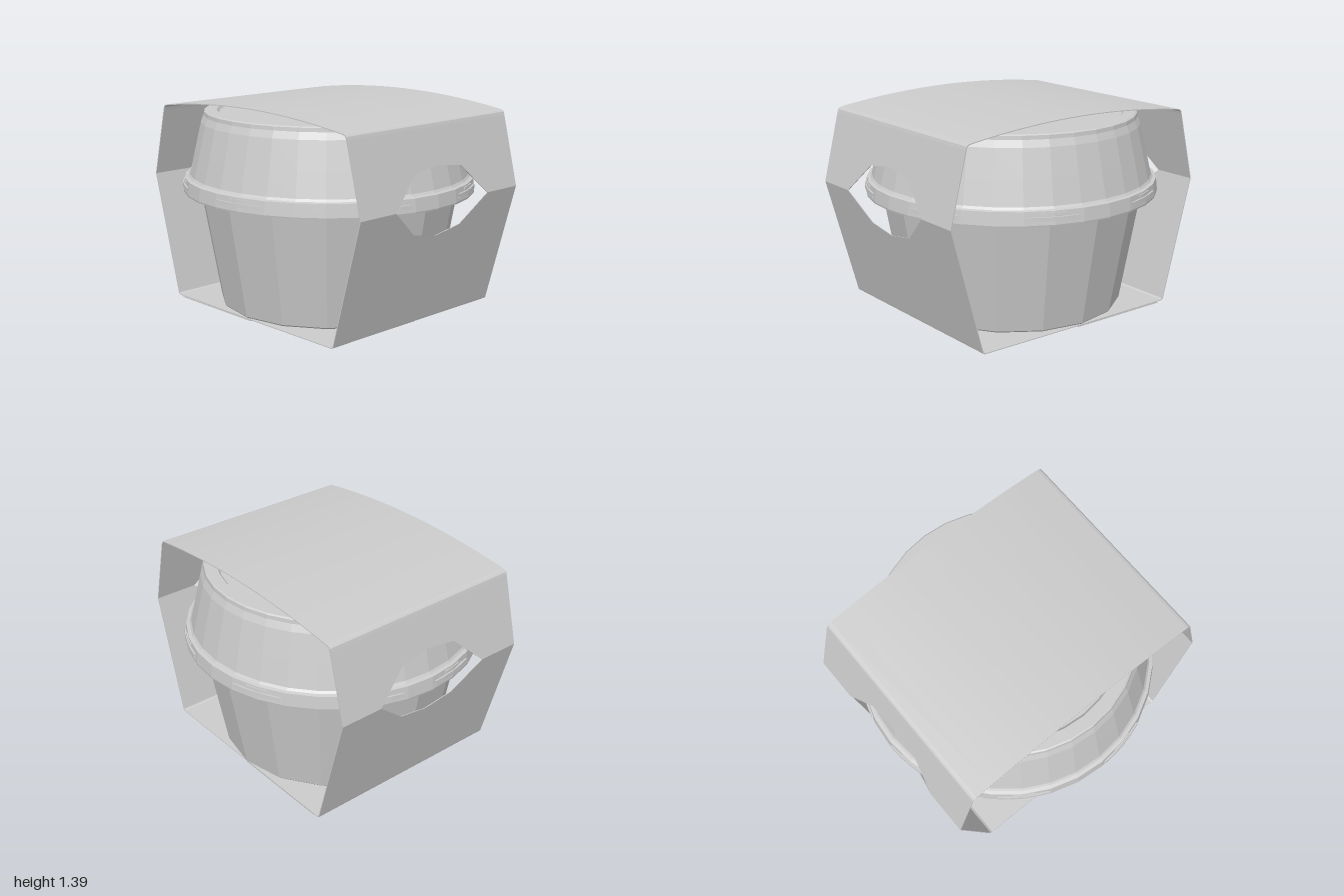
import * as THREE from 'three';

const DEPTH = 1.46; // sleeve length along z
const WALL = 0.006; // card thickness

export function createModel() {
  const model = new THREE.Group();
  const flat = new THREE.MeshStandardMaterial({ color: 0xcccccc, flatShading: true, side: THREE.DoubleSide });
  const add = (name, geometry, parent) => {
    const mesh = new THREE.Mesh(geometry, flat);
    mesh.name = name;
    parent.add(mesh);
    return mesh;
  };
  const lathe = (points, segments, start = 0, length = Math.PI * 2) =>
    new THREE.LatheGeometry(points.map(([r, y]) => new THREE.Vector2(r, y)), segments, start, length);

  // Round container with a clip-on lid, set slightly off the sleeve's middle
  const container = new THREE.Group();
  container.name = 'container';
  container.position.x = -0.02;
  model.add(container);

  add('tub', lathe([[0, 0.02], [0.735, 0.02], [0.745, 0.03], [0.88, 0.8]], 16), container);

  add('lid', lathe([
    [0.87, 0.79], [0.98, 0.79], [0.982, 0.8], [0.972, 0.885], [0.95, 0.89], [0.938, 0.905],
    [0.9, 1.07], [0.858, 1.25], [0.838, 1.295], [0.835, 1.32], [0.825, 1.327],
    [0.75, 1.327], [0.735, 1.31], [0, 1.31],
  ], 32), container);

  // Raised clips around the lid's rim
  const clips = new THREE.Group();
  clips.name = 'rimClips';
  container.add(clips);
  for (const degrees of [-158, -113, -79, -33, 11, 67, 113, 157]) {
    const a = THREE.MathUtils.degToRad(degrees);
    add('rimClip', lathe([[0.965, 0.826], [0.986, 0.826], [0.984, 0.85], [0.965, 0.85], [0.965, 0.826]],
      4, a - 0.175, 0.35), clips);
    add('clipNotch', lathe([[0.96, 0.866], [0.979, 0.866], [0.978, 0.875], [0.96, 0.875]],
      2, a - 0.075, 0.15), clips);
  }

  // Small pull tab under the lid's top edge
  const tab = add('pullTab', new THREE.BoxGeometry(0.06, 0.035, 0.03), container);
  tab.position.set(0.805, 1.3, 0.22);
  tab.rotation.y = THREE.MathUtils.degToRad(75);

  // Card sleeve, open at front and back
  const sleeve = new THREE.Group();
  sleeve.name = 'sleeve';
  model.add(sleeve);

  // A strip of card following an (x, y) path, extruded along z
  const strip = (name, path) => {
    const inner = path.map(([x, y]) => [x * (1 - WALL), y + (0.7 - y) * 0.008]).reverse();
    const shape = new THREE.Shape([...path, ...inner].map(([x, y]) => new THREE.Vector2(x, y)));
    const geometry = new THREE.ExtrudeGeometry(shape, { depth: DEPTH, bevelEnabled: false });
    add(name, geometry.translate(0, 0, -DEPTH / 2), sleeve);
  };
  const mirrored = (half) => [...half.map(([x, y]) => [-x, y]), ...half.slice().reverse()];

  const top = [];
  for (let i = 0; i <= 16; i++) {
    const x = -0.85 + (1.7 * i) / 16;
    top.push([x, 1.395 - 0.06 * (x / 0.85) ** 2]);
  }
  strip('sleeveTop', [[-0.885, 1.3], [-0.879, 1.32], [-0.868, 1.33], ...top, [0.868, 1.33], [0.879, 1.32], [0.885, 1.3]]);
  strip('sleeveBottom', mirrored([[0.777, 0.035], [0.772, 0.018], [0.757, 0.01], [0.1, 0.008]]));

  // Overlapping glue flap under the base
  const flap = add('glueFlap', new THREE.BoxGeometry(0.72, 0.006, DEPTH), sleeve);
  flap.position.set(-0.36, 0.004, 0);

  // Side panel from the fold at (1, 0.84) to a far edge, with half the grip hole cut out of it
  const sidePanel = (name, farX, farY, midY, shoulderY, parent) => {
    const z = DEPTH / 2;
    const outline = [[-z, farY], [z, farY], [z, 0.84], [0.43, 0.84], [0.215, shoulderY], [0, midY],
      [-0.215, shoulderY], [-0.43, 0.84], [-z, 0.84]];
    const shape = new THREE.Shape(outline.map(([a, b]) => new THREE.Vector2(a, b)));
    const geometry = new THREE.ExtrudeGeometry(shape, { depth: WALL, bevelEnabled: false });
    const p = geometry.attributes.position;
    for (let i = 0; i < p.count; i++) {
      const across = p.getX(i), y = p.getY(i), inset = WALL - p.getZ(i);
      const slope = (y - 0.84) / (farY - 0.84);
      p.setXYZ(i, 1 + (farX - 1) * slope - inset, y, -across);
    }
    geometry.computeVertexNormals();
    add(name, geometry, parent);
  };
  for (const [name, turn] of [['leftSide', 0], ['rightSide', Math.PI]]) {
    const side = new THREE.Group();
    side.name = name;
    side.rotation.y = turn;
    sleeve.add(side);
    sidePanel('upperPanel', 0.885, 1.3, 1.07, 1.04, side);
    sidePanel('lowerPanel', 0.777, 0.035, 0.62, 0.66, side);
  }

  return model;
}
